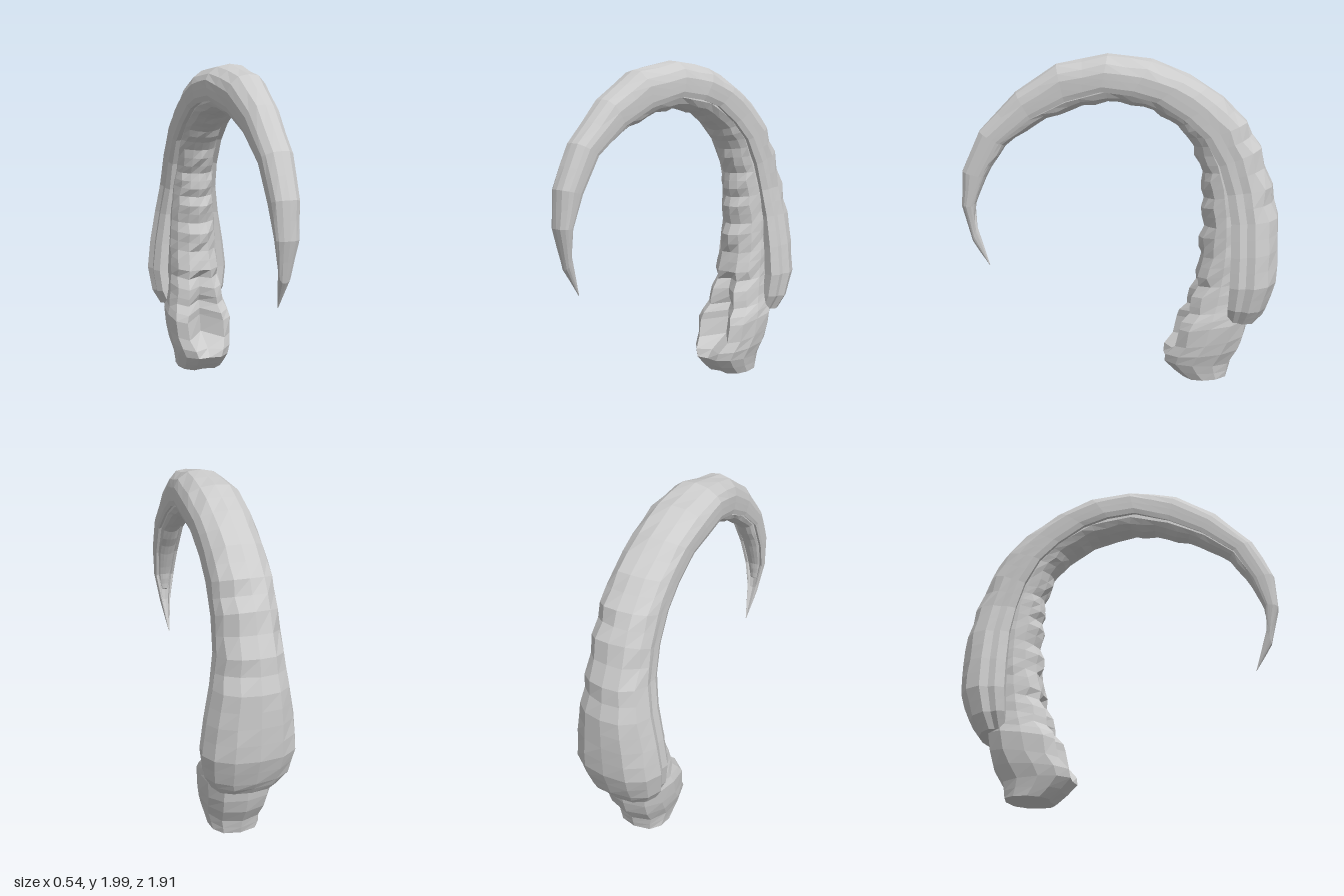
import * as THREE from 'three';

const material = new THREE.MeshStandardMaterial({ color: 0xcccccc, flatShading: true });

// Repeatable noise in -1..1
const noise = (a, b) => {
  const s = Math.sin(a * 127.1 + b * 311.7) * 43758.5453;
  return (s - Math.floor(s)) * 2 - 1;
};

// Insert n - 1 in-between stations after each station
function refine(stations, n) {
  const out = [];
  for (let i = 0; i < stations.length - 1; i++)
    for (let k = 0; k < n; k++)
      out.push(stations[i].map((v, c) => v + (stations[i + 1][c] - v) * k / n));
  out.push(stations[stations.length - 1]);
  return out;
}

// Mirror a half section: first point lies on the back centre line, last on the front
const mirrored = (half) => [...half, ...half.slice(1, -1).reverse().map(([u, v]) => [-u, v])];

// Blend two sections with equal point counts
const blend = (a, b, k) => a.map(([u, v], j) => [u + (b[j][0] - u) * k, v + (b[j][1] - v) * k]);

// Skin a closed surface through rings of [x, y, z] points, closed by a fan at each end
function skin(name, rings) {
  const n = rings[0].length, m = rings.length, pos = rings.flat(2), idx = [];
  for (let i = 0; i < m - 1; i++)
    for (let j = 0; j < n; j++) {
      const a = i * n + j, b = i * n + (j + 1) % n;
      idx.push(a, a + n, b, b, a + n, b + n);
    }
  for (const ring of [rings[0], rings[m - 1]])
    pos.push(...[0, 1, 2].map((c) => ring.reduce((s, p) => s + p[c], 0) / n));
  for (let j = 0; j < n; j++) {
    const k = (j + 1) % n, e = (m - 1) * n;
    idx.push(m * n, j, k, m * n + 1, e + k, e + j);
  }
  const geo = new THREE.BufferGeometry();
  geo.setAttribute('position', new THREE.Float32BufferAttribute(pos, 3));
  geo.setIndex(idx);
  geo.computeVertexNormals();
  const mesh = new THREE.Mesh(geo, material);
  mesh.name = name;
  return mesh;
}

// Hooked outer sheath: [outer z, outer y, rim z, rim y, half width, groove]
// groove 1 = furrow along the flank, 0 = plain flank
function clawSheath() {
  const stations = [
    [-0.835, 0.39, -0.64, 0.41, 0.20, 1],
    [-0.895, 0.48, -0.635, 0.50, 0.25, 1],
    [-0.95, 0.65, -0.64, 0.64, 0.272, 1],
    [-0.955, 0.85, -0.645, 0.82, 0.25, 1],
    [-0.95, 1.04, -0.645, 1.02, 0.215, 1],
    [-0.91, 1.23, -0.62, 1.19, 0.185, 0.8],
    [-0.83, 1.46, -0.57, 1.36, 0.175, 0.5],
    [-0.74, 1.61, -0.48, 1.52, 0.17, 0.2],
    [-0.60, 1.75, -0.36, 1.63, 0.165, 0],
    [-0.40, 1.88, -0.20, 1.73, 0.165, 0],
    [-0.18, 1.97, -0.05, 1.77, 0.17, 0],
    [0.08, 2.00, 0.12, 1.79, 0.155, 0],
    [0.38, 1.94, 0.33, 1.73, 0.12, 0],
    [0.62, 1.78, 0.53, 1.63, 0.10, 0],
    [0.84, 1.55, 0.72, 1.48, 0.09, 0],
    [0.95, 1.31, 0.83, 1.28, 0.08, 0],
    [0.96, 1.10, 0.89, 1.10, 0.065, 0],
    [0.905, 0.87, 0.88, 0.95, 0.035, 0],
    [0.808, 0.715, 0.806, 0.715, 0.002, 0],
  ];
  // Half sections from the back, round the rim, into the inner channel
  const grooved = mirrored([[0, 0], [0.5, 0.05], [0.85, 0.26], [1, 0.55], [0.92, 0.7],
    [0.95, 0.84], [0.84, 1], [0.62, 0.97], [0.55, 0.72], [0, 0.6]]);
  const plain = mirrored([[0, 0], [0.5, 0.05], [0.86, 0.25], [1, 0.45], [1, 0.65],
    [0.99, 0.86], [0.92, 1], [0.72, 0.96], [0.55, 0.72], [0, 0.6]]);
  const rings = refine(stations, 2).map(([oz, oy, iz, iy, w, groove], i) => {
    // Overlapping, broken growth steps on the upper back
    const steps = oz < -0.7 && oy > 1.0 && oy < 1.65 ? 0.06 * (i % 2) : 0;
    return blend(plain, grooved, groove).map(([u, v], j) => {
      const chip = v < 0.4 ? steps * (0.7 + 0.4 * noise(i, j)) : 0;
      const rough = v > 0 && v < 0.5 ? noise(i, j) * 0.03 : 0;
      const t = v + chip + rough;
      return [u * w, oy + (iy - oy) * t, oz + (iz - oz) * t];
    });
  });
  return skin('clawSheath', rings);
}

// Ridged inner core and base: [back z, back y, front z, front y, half width, hollow]
// hollow 1 = scooped front with a raised lip, 0 = rounded ridge
function innerCore() {
  const base = [
    [-0.67, 0.02, -0.38, 0.005, 0.148, 0.3],
    [-0.68, 0.06, -0.31, 0.06, 0.157, 0.25],
    [-0.69, 0.11, -0.25, 0.12, 0.17, 0.2],
    [-0.75, 0.21, -0.26, 0.165, 0.19, 0.4],
    [-0.775, 0.30, -0.33, 0.23, 0.198, 1],
  ];
  const ridged = [
    [-0.79, 0.41, -0.36, 0.34, 0.205, 1],
    [-0.80, 0.55, -0.42, 0.48, 0.175, 0.6],
    [-0.82, 0.72, -0.455, 0.66, 0.16, 0.2],
    [-0.82, 0.90, -0.48, 0.84, 0.155, 0],
    [-0.80, 1.08, -0.49, 1.03, 0.145, 0],
    [-0.76, 1.25, -0.485, 1.20, 0.13, 0],
    [-0.70, 1.37, -0.465, 1.35, 0.12, 0],
    [-0.60, 1.55, -0.395, 1.51, 0.12, 0],
    [-0.45, 1.70, -0.285, 1.61, 0.12, 0],
    [-0.20, 1.83, -0.13, 1.69, 0.12, 0],
    [0.10, 1.88, 0.08, 1.72, 0.105, 0],
    [0.36, 1.80, 0.30, 1.67, 0.085, 0],
    [0.60, 1.66, 0.50, 1.59, 0.07, 0],
    [0.76, 1.51, 0.69, 1.46, 0.06, 0],
    [0.87, 1.30, 0.81, 1.27, 0.055, 0],
    [0.92, 1.10, 0.875, 1.11, 0.04, 0],
    [0.91, 0.98, 0.89, 1.00, 0.02, 0],
  ];
  const half = [[0, 0], [0.65, 0.08], [0.95, 0.3], [1, 0.58], [0.82, 0.8], [0.42, 0.95], [0, 1]];
  const ridge = mirrored(half), front = half.length - 1;
  const scoop = mirrored([[0, 0], [0.65, 0.08], [0.95, 0.3], [1, 0.6], [0.9, 0.86], [0.6, 1], [0, 0.7]]);
  const rings = [...base, ...refine(ridged, 3)].map(([bz, by, fz, fy, w, hollow], i) => {
    const rough = i < base.length ? 0 : 1;
    return blend(ridge, scoop, hollow).map(([u, v], j) => {
      // Cross ridges on the front face
      const cut = (i % 3 === 1 ? -0.05 : 0.01) + noise(i, Math.abs(j - front)) * 0.03;
      const t = v + (v > 0.65 ? rough * cut : 0);
      return [u * w * (1 + rough * noise(i, j) * 0.03), by + (fy - by) * t, bz + (fz - bz) * t];
    });
  });
  return skin('innerCore', rings);
}

export function createModel() {
  const model = new THREE.Group();
  model.name = 'claw';
  model.add(clawSheath(), innerCore());
  return model;
}
